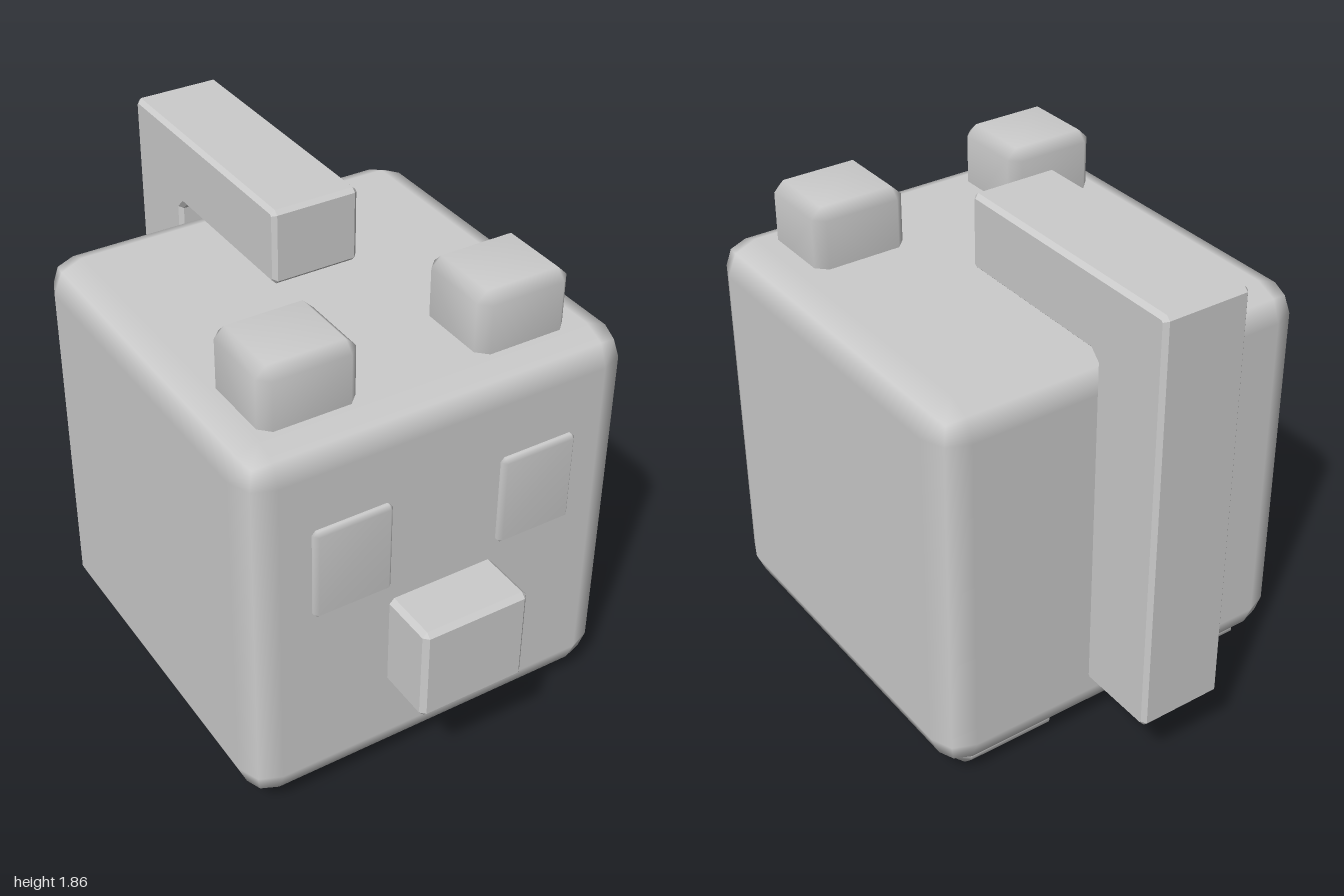
import * as THREE from 'three';
import { mergeVertices } from 'three/addons/utils/BufferGeometryUtils.js';
import { RoundedBoxGeometry } from 'three/addons/geometries/RoundedBoxGeometry.js';
import { ConvexGeometry } from 'three/addons/geometries/ConvexGeometry.js';

// Box with single-step chamfered edges, smooth or faceted
function chamferBox(w, h, d, c, smooth = true) {
  const points = [];
  for (const x of [-1, 1]) for (const y of [-1, 1]) for (const z of [-1, 1]) {
    for (let axis = 0; axis < 3; axis++) {
      const p = [w / 2, h / 2, d / 2].map((s, i) => (i === axis ? s : s - c));
      points.push(new THREE.Vector3(x * p[0], y * p[1], z * p[2]));
    }
  }
  const geometry = new ConvexGeometry(points);
  if (!smooth) return geometry;
  geometry.deleteAttribute('normal');
  const merged = mergeVertices(geometry);
  merged.computeVertexNormals();
  return merged;
}

// Bent bar: side profile with slightly cut corners, extruded across x
function tailGeometry() {
  const corners = [
    [0, 1.86, 0.015], [-1, 1.86, 0.015], [-1, 0.25, 0.015],
    [-0.68, 0.25, 0.015], [-0.68, 1.58, 0.03], [0, 1.58, 0.015],
  ].map(([z, y, cut]) => ({ p: new THREE.Vector2(z, y), cut }));
  const outline = [];
  corners.forEach(({ p, cut }, i) => {
    for (const step of [-1, 1]) {
      const next = corners[(i + step + corners.length) % corners.length].p;
      outline.push(next.clone().sub(p).setLength(cut).add(p));
    }
  });
  const geometry = new THREE.ExtrudeGeometry(new THREE.Shape(outline), {
    depth: 0.3, bevelEnabled: true, bevelSegments: 1,
    bevelSize: 0.015, bevelThickness: 0.015, bevelOffset: -0.015,
  });
  geometry.translate(0, 0, -0.15);
  geometry.rotateY(-Math.PI / 2);
  return geometry;
}

export function createModel() {
  const model = new THREE.Group();
  const grey = new THREE.MeshStandardMaterial({ color: 0xcccccc });
  grey.name = 'light grey';

  const add = (name, geometry, x, y, z) => {
    const mesh = new THREE.Mesh(geometry, grey);
    mesh.name = name;
    mesh.position.set(x, y, z);
    model.add(mesh);
  };

  // Cube body with two-step rounded edges
  add('body', new RoundedBoxGeometry(1.47, 1.47, 1.47, 1, 0.115), 0, 0.805, 0.053);

  // Paired ears, eyes and feet
  const ear = chamferBox(0.355, 0.36, 0.33, 0.038);
  const eye = chamferBox(0.293, 0.35, 0.14, 0.014);
  const foot = chamferBox(0.42, 0.11, 0.42, 0.042);
  for (const [side, s] of [['left', 1], ['right', -1]]) {
    add(side + 'Ear', ear, s * 0.402 - 0.022, 1.58, 0.495);
    add(side + 'Eye', eye, s * 0.36, 1.04, 0.742);
    add(side + 'FrontFoot', foot, s * 0.43, 0.055, 0.467);
    add(side + 'BackFoot', foot, s * 0.43, 0.055, -0.4);
  }

  // Faceted snout
  add('snout', chamferBox(0.415, 0.372, 0.4, 0.018, false), 0, 0.61, 0.8);

  // Tail rising behind the body and folding over the top
  add('tail', tailGeometry(), -0.01, 0, 0);

  return model;
}
